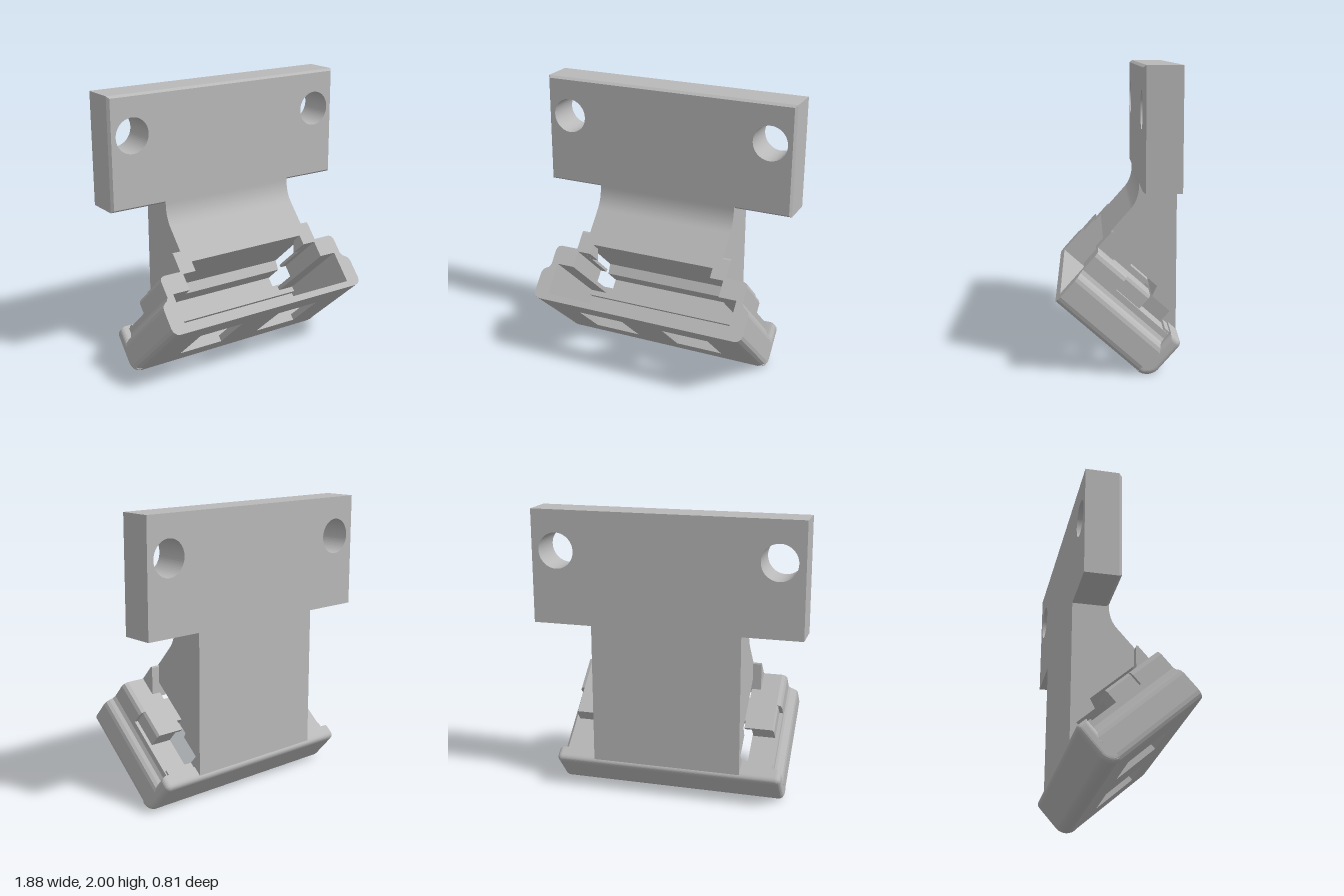
import * as THREE from 'three';

const TILT = 0.723, FACE_Y = 0.49, FACE_Z = 0.4;
const C = Math.cos(TILT), S = Math.sin(TILT);

// Tilted holder coordinates (a = up the open face, d = depth) to [z, y]
const tilted = (a, d) => [FACE_Z - S * a - C * d, FACE_Y + C * a - S * d];

const shapeOf = (pts) => new THREE.Shape(pts.map(([u, v]) => new THREE.Vector2(u, v)));

// Extrude a (z, y) profile along x between two positions
function alongX(shape, x0, x1, bevel = 0) {
  const g = new THREE.ExtrudeGeometry(shape, {
    depth: x1 - x0 - 2 * bevel, curveSegments: 12, bevelEnabled: bevel > 0,
    bevelSize: bevel, bevelThickness: bevel, bevelOffset: -bevel, bevelSegments: 5,
  });
  g.rotateY(-Math.PI / 2);
  g.translate(x1 - bevel, 0, 0);
  return g;
}

export function createModel() {
  const model = new THREE.Group();
  model.name = 'angledWallHolder';
  const grey = new THREE.MeshStandardMaterial({ color: 0xb8b8b8 });
  grey.name = 'grey plastic';

  const add = (parent, name, geometry) => {
    const m = new THREE.Mesh(geometry, grey);
    m.name = name;
    parent.add(m);
    return m;
  };

  // Mounting plate with two screw holes and a softened front edge
  const W = 0.94, Y0 = 1.21, Y1 = 2;
  const plate = shapeOf([[-W, Y0], [W, Y0], [W, Y1], [-W, Y1]]);
  for (const s of [-1, 1]) {
    plate.holes.push(new THREE.Path().absarc(s * 0.767, 1.72, 0.124, 0, Math.PI * 2, true));
  }
  const layer = (z0, z1) => new THREE.ExtrudeGeometry(plate, { depth: z1 - z0, bevelEnabled: false, curveSegments: 32 }).translate(0, 0, z0);
  add(model, 'mountingPlate', layer(-0.4, -0.17));
  const front = layer(-0.17, -0.15);
  const p = front.attributes.position;
  for (let i = 0; i < p.count; i++) {
    if (p.getZ(i) < -0.16) continue;
    const x = p.getX(i), y = p.getY(i);
    if (Math.abs(x) > W - 0.01) p.setX(i, x - Math.sign(x) * 0.015);
    if (y > Y1 - 0.01) p.setY(i, y - 0.015);
    if (y < Y0 + 0.01) p.setY(i, y + 0.015);
  }
  front.computeVertexNormals();
  add(model, 'plateFrontEdge', front);

  // Neck, whose lower end forms the ceiling and back of the pocket
  const neck = shapeOf([
    [-0.4, 1.25], [-0.4, 0.22], tilted(0.3, 0.74), tilted(0.3, 0.66), tilted(0.4, 0.66),
    tilted(0.4, 0.5), tilted(0.473, 0.48), tilted(0.473, 0), tilted(0.75, 0),
  ]);
  neck.quadraticCurveTo(-0.15, 1.115, -0.15, 1.21);
  neck.lineTo(-0.15, 1.25);
  add(model, 'neck', alongX(neck, -0.525, 0.525));

  // Small upper shoulders beside the pocket opening
  const shoulder = shapeOf([tilted(0.4, 0), tilted(0.55, 0), [0.025, 0.91], [0.02, 0.9], [0.02, 0.69]]);
  add(model, 'leftShoulder', alongX(shoulder, 0.47, 0.585));
  add(model, 'rightShoulder', alongX(shoulder, -0.585, -0.47));

  // Tilted holder tray
  const holder = new THREE.Group();
  holder.name = 'holderTray';
  holder.position.set(0, FACE_Y, FACE_Z);
  holder.rotation.x = -TILT;
  model.add(holder);

  const box = (name, x0, x1, a0, a1, d0, d1) => add(holder, name,
    new THREE.BoxGeometry(x1 - x0, a1 - a0, d1 - d0).translate((x0 + x1) / 2, (a0 + a1) / 2, -(d0 + d1) / 2));

  // Stepped side walls: outer contour up, over the given top, then the inner steps
  const lower = [[0.51, 0], [0.76, 0], [0.785, 0.007], [0.803, 0.025], [0.81, 0.05],
    [0.81, 0.19], [0.803, 0.215], [0.785, 0.232], [0.762, 0.245], [0.75, 0.27]];
  const inner = [[0.57, 0.28], [0.7, 0.28], [0.7, 0.045], [0.51, 0.045]];
  const fullTop = [[0.75, 0.385], [0.74, 0.41], [0.715, 0.42], [0.52, 0.42], [0.52, 0.4], [0.57, 0.4]];
  const recessTop = [[0.75, 0.31], [0.725, 0.31], [0.725, 0.4], [0.715, 0.42], [0.52, 0.42], [0.52, 0.4], [0.57, 0.4]];
  const lowTop = [[0.75, 0.31], [0.57, 0.31]];
  const sections = [['FrontWall', fullTop, 0, 0.25], ['RecessedWall', recessTop, 0.25, 0.45], ['LowWall', lowTop, 0.45, 0.73]];
  for (const [side, s] of [['left', 1], ['right', -1]]) {
    for (const [name, top, d0, d1] of sections) {
      const g = new THREE.ExtrudeGeometry(shapeOf([...lower, ...top, ...inner].map(([x, a]) => [s * x, a])),
        { depth: d1 - d0, bevelEnabled: false });
      add(holder, side + name, g.translate(0, 0, -d1));
    }
    // Bottom strips before and behind the window
    const [x0, x1] = s > 0 ? [0.16, 0.51] : [-0.51, -0.16];
    box(side + 'WindowFrontStrip', x0, x1, 0, 0.045, 0, 0.2);
    box(side + 'WindowRearStrip', x0, x1, 0, 0.045, 0.56, 0.73);
  }
  box('bottomCentre', -0.16, 0.16, 0, 0.045, 0, 0.73);

  // Rounded back wall and the ledge inside it
  const back = new THREE.Shape();
  back.moveTo(-0.7, 0);
  back.lineTo(-0.7, 0.335);
  back.lineTo(-0.76, 0.335);
  back.quadraticCurveTo(-0.8, 0.335, -0.8, 0.29);
  back.lineTo(-0.8, 0.1);
  back.absarc(-0.7, 0.1, 0.1, Math.PI, Math.PI * 1.5, false);
  add(holder, 'backWall', alongX(back, -0.81, 0.81, 0.035));
  box('backLedge', -0.74, 0.74, 0.24, 0.325, 0.66, 0.73);

  return model;
}
